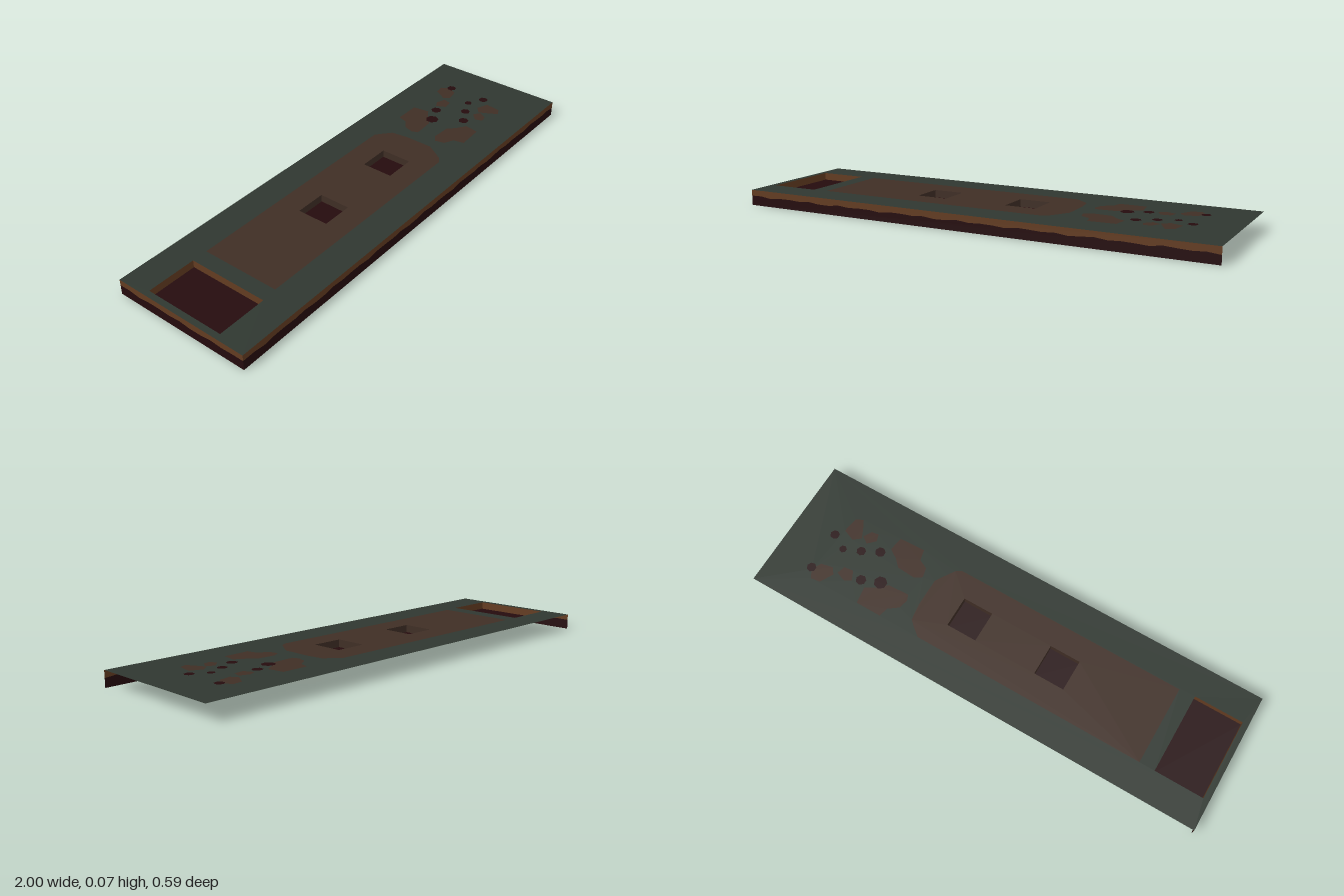
import * as THREE from 'three';

const TOP = 0.065, FLOOR = 0.034, HALF_X = 1, HALF_Z = 0.295;

function material(name, color) {
  const m = new THREE.MeshStandardMaterial({ color, side: THREE.DoubleSide });
  m.name = name;
  return m;
}

// Outlines are lists of [x, z] on the ground plan
const rect = (x0, x1, z0, z1) => [[x0, z0], [x1, z0], [x1, z1], [x0, z1]];
const toVectors = (pts) => pts.map(([x, z]) => new THREE.Vector2(x, -z));

export function createModel() {
  const group = new THREE.Group();
  const moss = material('mossGreen', 0x2f3730);
  const dirt = material('darkDirt', 0x3f2e25);
  const soil = material('brownSoil', 0x633c21);
  const deep = material('deepEarth', 0x250b0d);

  function add(name, geometry, mat, parent = group) {
    const mesh = new THREE.Mesh(geometry, mat);
    mesh.name = name;
    parent.add(mesh);
    return mesh;
  }

  // Flat horizontal sheet with optional cut-outs
  function sheet(name, outline, y, mat, holes = []) {
    const shape = new THREE.Shape(toVectors(outline));
    holes.forEach((h) => shape.holes.push(new THREE.Path(toVectors(h))));
    const geometry = new THREE.ShapeGeometry(shape);
    geometry.rotateX(-Math.PI / 2);
    geometry.translate(0, y, 0);
    return add(name, geometry, mat);
  }

  // Sunken rectangular pit: four walls and a floor
  function pit(name, [x0, x1, z0, z1], wallMat) {
    const h = TOP - FLOOR, y = (TOP + FLOOR) / 2;
    const cx = (x0 + x1) / 2, cz = (z0 + z1) / 2;
    for (const s of [-1, 1]) {
      const end = add(name + 'EndWall', new THREE.PlaneGeometry(z1 - z0, h), wallMat);
      end.rotation.y = -s * Math.PI / 2;
      end.position.set(s < 0 ? x0 : x1, y, cz);
      const side = add(name + 'SideWall', new THREE.PlaneGeometry(x1 - x0, h), wallMat);
      side.rotation.y = s < 0 ? 0 : Math.PI;
      side.position.set(cx, y, s < 0 ? z0 : z1);
    }
    sheet(name + 'Floor', rect(x0, x1, z0, z1), FLOOR, deep);
  }

  const bigPit = [-0.975, -0.77, -0.17, 0.17];
  const smallPits = [[-0.315, -0.185, -0.066, 0.066], [0.085, 0.215, -0.066, 0.066]];

  // Worn dirt path and scattered patches
  const path = [
    [-0.705, -0.17], [0.29, -0.17], [0.315, -0.15], [0.35, -0.12], [0.36, -0.05],
    [0.36, 0.07], [0.33, 0.12], [0.31, 0.15], [0.285, 0.165], [-0.705, 0.165],
  ];
  const patches = [
    [[0.41, -0.06], [0.42, -0.1], [0.46, -0.13], [0.47, -0.17], [0.58, -0.17],
      [0.59, -0.1], [0.55, -0.075], [0.51, -0.04], [0.42, -0.035]],
    [[0.41, 0.06], [0.44, 0.04], [0.52, 0.045], [0.55, 0.075], [0.59, 0.1],
      [0.58, 0.16], [0.47, 0.165], [0.46, 0.12], [0.42, 0.1]],
    [[0.65, -0.1], [0.68, -0.115], [0.72, -0.1], [0.71, -0.065], [0.67, -0.06]],
    [[0.73, -0.115], [0.76, -0.17], [0.8, -0.175], [0.82, -0.14], [0.8, -0.1], [0.75, -0.09]],
    [[0.66, 0.1], [0.69, 0.07], [0.72, 0.09], [0.7, 0.125], [0.67, 0.13]],
    [[0.72, 0.08], [0.75, 0.055], [0.8, 0.075], [0.79, 0.14], [0.76, 0.155], [0.74, 0.12]],
  ];

  sheet('mossGround', rect(-HALF_X, HALF_X, -HALF_Z, HALF_Z), TOP, moss,
    [path, rect(...bigPit), ...patches]);
  sheet('dirtPath', path, TOP, dirt, smallPits.map((p) => rect(...p)));
  patches.forEach((p) => sheet('dirtPatch', p, TOP, dirt));

  pit('largePit', bigPit, soil);
  smallPits.forEach((p) => pit('smallPit', p, dirt));

  // Small dark spots lying on the ground
  const spots = [[0.545, -0.048, 0.028], [0.62, -0.078, 0.022], [0.62, 0.066, 0.022],
    [0.69, 0.03, 0.02], [0.76, 0, 0.016], [0.825, 0.038, 0.02], [0.825, -0.133, 0.02]];
  for (const [x, z, r] of spots) {
    const spot = add('darkSpot', new THREE.CircleGeometry(r, 7), deep);
    spot.rotation.x = -Math.PI / 2;
    spot.position.set(x, TOP + 0.0006, z);
  }

  // Cut face of the ground: brown soil over dark earth with an uneven border
  function cutFace(name, half) {
    const face = new THREE.Group();
    face.name = name;
    const n = Math.round(half * 40), border = [];
    for (let i = 0; i <= n; i++) {
      const y = 0.039 + 0.003 * Math.sin(i * 2.3) + 0.0015 * Math.sin(i * 5.1 + 1);
      border.push(new THREE.Vector2(-half + (2 * half * i) / n, y));
    }
    const strip = (y) => new THREE.ShapeGeometry(new THREE.Shape([
      ...border, new THREE.Vector2(half, y), new THREE.Vector2(-half, y)]));
    add(name + 'Soil', strip(TOP), soil, face);
    add(name + 'Earth', strip(0), deep, face);
    group.add(face);
    return face;
  }
  cutFace('frontCut', HALF_X).position.z = HALF_Z;
  const endCut = cutFace('endCut', HALF_Z);
  endCut.rotation.y = -Math.PI / 2;
  endCut.position.x = -HALF_X;

  return group;
}
